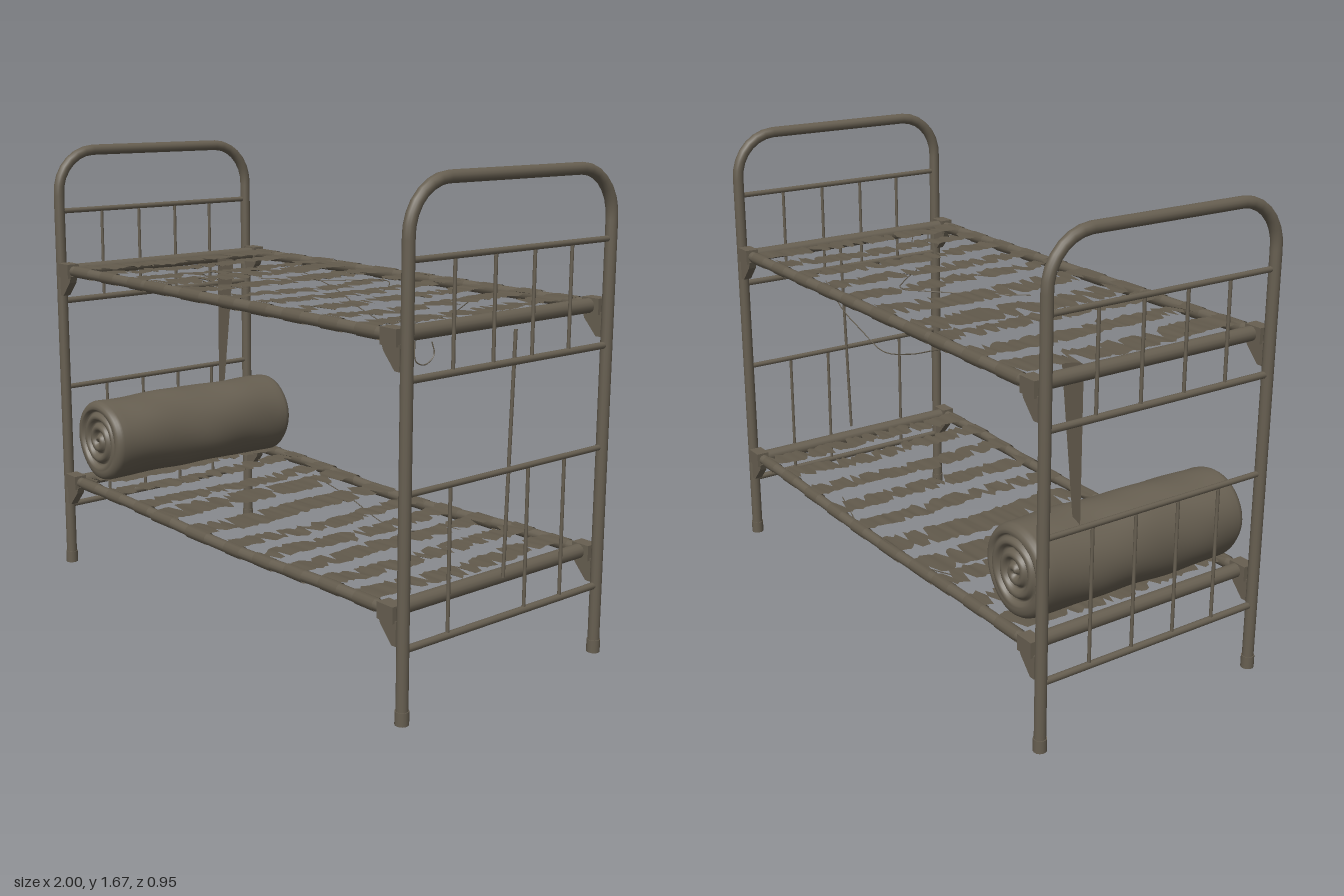
import * as THREE from 'three';
import { mergeVertices } from 'three/addons/utils/BufferGeometryUtils.js';

const V = (x, y, z) => new THREE.Vector3(x, y, z);

export function createModel() {
  const model = new THREE.Group();
  const metal = new THREE.MeshStandardMaterial({ color: 0x675f51 });
  metal.name = 'weatheredBrown';
  const cloth = new THREE.MeshStandardMaterial({ color: 0x625a4c, side: THREE.DoubleSide });
  cloth.name = 'tatteredCloth';

  let seed = 7;
  const rand = () => (seed = (seed * 16807) % 2147483647) / 2147483647;

  const add = (parent, name, geometry, material = metal) => {
    const mesh = new THREE.Mesh(geometry, material);
    mesh.name = name;
    parent.add(mesh);
    return mesh;
  };
  // Straight round bar between two points
  const bar = (parent, name, a, b, r, sides = 10) => {
    const mesh = add(parent, name, new THREE.CylinderGeometry(r, r, a.distanceTo(b), sides));
    mesh.position.copy(a).lerp(b, 0.5);
    mesh.quaternion.setFromUnitVectors(V(0, 1, 0), b.clone().sub(a).normalize());
    return mesh;
  };
  const wire = (parent, name, points, r = 0.002) =>
    add(parent, name, new THREE.TubeGeometry(new THREE.CatmullRomCurve3(points), 40, r, 5));

  // Bent-tube bed ends with rails and spindles
  const bedEnd = (x, name) => {
    const group = new THREE.Group();
    group.name = name;
    model.add(group);
    const w = 0.449, top = 1.65, r = 0.16, k = r * 0.448;
    const path = new THREE.CurvePath();
    path.add(new THREE.LineCurve3(V(x, 0.01, w), V(x, top - r, w)));
    path.add(new THREE.CubicBezierCurve3(V(x, top - r, w), V(x, top - k, w), V(x, top, w - k), V(x, top, w - r)));
    path.add(new THREE.LineCurve3(V(x, top, w - r), V(x, top, r - w)));
    path.add(new THREE.CubicBezierCurve3(V(x, top, r - w), V(x, top, k - w), V(x, top - k, -w), V(x, top - r, -w)));
    path.add(new THREE.LineCurve3(V(x, top - r, -w), V(x, 0.01, -w)));
    add(group, 'hoop', new THREE.TubeGeometry(path, 110, 0.02, 14));
    for (const s of [-1, 1]) bar(group, 'foot', V(x, 0, s * w), V(x, 0.045, s * w), 0.023, 14);
    for (const [low, high] of [[1.07, 1.42], [0.24, 0.725]]) {
      bar(group, 'lowerRail', V(x, low, -w), V(x, low, w), 0.012);
      bar(group, 'upperRail', V(x, high, -w), V(x, high, w), 0.01);
      for (const z of [-0.26, -0.087, 0.087, 0.26]) {
        if (x > 0 && low < 1 && z === 0.087) continue; // this spindle has come loose
        bar(group, 'spindle', V(x, low, z), V(x, high, z), 0.006, 8);
      }
    }
  };
  bedEnd(-0.98, 'headEnd');
  bedEnd(0.98, 'footEnd');
  bar(model, 'looseSpindle', V(0.975, 1.17, -0.015), V(0.975, 0.37, 0.01), 0.006, 8);

  // Ragged cloth strap running across the bed
  const strap = (parent, cx, width, height) => {
    const rows = 56, half = 0.445, pos = [], index = [];
    for (let i = 0; i <= rows; i++) {
      const t = (i / rows) * 2 - 1;
      const edge = [-1, 1].map((s) => {
        const notch = rand() < 0.2 ? rand() * width * 0.62 : 0;
        return cx + s * (width / 2 + (rand() - 0.5) * 0.018 - notch) + 0.008 * Math.sin(t * 4 + cx * 9);
      });
      const y = height(cx) - 0.008 * (1 - t * t) + (rand() - 0.5) * 0.004;
      pos.push(edge[0], y, t * half, edge[1], y + (rand() - 0.5) * 0.006, t * half);
      if (i < rows) {
        const a = i * 2;
        index.push(a, a + 2, a + 1, a + 1, a + 2, a + 3);
      }
    }
    const geometry = new THREE.BufferGeometry();
    geometry.setAttribute('position', new THREE.Float32BufferAttribute(pos, 3));
    geometry.setIndex(index);
    geometry.computeVertexNormals();
    add(parent, 'strap', geometry, cloth);
  };

  // Triangular corner gusset, drawn for the +x end
  const gussetShape = new THREE.Shape();
  gussetShape.moveTo(0.885, -0.02);
  gussetShape.lineTo(0.895, -0.045);
  gussetShape.lineTo(0.945, -0.1);
  gussetShape.lineTo(0.965, -0.1);
  gussetShape.lineTo(0.965, -0.02);
  const gussetGeometry = new THREE.ExtrudeGeometry(gussetShape, { depth: 0.03, bevelEnabled: false });
  gussetGeometry.translate(0, 0, -0.015);

  // One bed deck: side rails, cross rails, corner joints and straps
  const deck = (name, y, sag) => {
    const group = new THREE.Group();
    group.name = name;
    model.add(group);
    const height = (x) => y - sag * Math.max(0, 1 - ((x - 0.05) / 0.6) ** 2) ** 1.5;
    for (const s of [-1, 1]) {
      const points = [];
      for (let i = 0; i <= 16; i++) {
        const x = -0.94 + (1.88 * i) / 16;
        points.push(V(x, height(x), s * 0.447 - s * 0.4 * (y - height(x))));
      }
      add(group, 'sideRail', new THREE.TubeGeometry(new THREE.CatmullRomCurve3(points), 48, 0.02, 12));
      bar(group, 'crossRail', V(s * 0.918, y, -0.46), V(s * 0.918, y, 0.46), 0.025, 14);
      for (const e of [-1, 1]) {
        add(group, 'cornerJoint', new THREE.BoxGeometry(0.07, 0.054, 0.05)).position.set(e * 0.925, y, s * 0.45);
        const gusset = add(group, 'gusset', gussetGeometry);
        gusset.position.set(0, y, s * 0.45);
        if (e < 0) gusset.rotation.y = Math.PI, gusset.position.z = s * 0.45;
      }
    }
    const straps = [[-0.81, 0.12], [-0.625, 0.1], [-0.435, 0.1], [-0.305, 0.14], [-0.09, 0.13],
      [0.125, 0.095], [0.295, 0.1], [0.467, 0.1], [0.647, 0.098], [0.815, 0.1]];
    for (const [x, width] of straps) {
      strap(group, x, width, (v) => height(v) + 0.022);
      // cloth wrapped over each side rail
      for (const s of [-1, 1]) {
        const wrap = add(group, 'strapWrap', new THREE.CylinderGeometry(0.0225, 0.0225, width * 0.9, 12, 1, true), cloth);
        wrap.rotation.z = Math.PI / 2;
        wrap.position.set(x, height(x), s * (0.447 - 0.4 * (y - height(x))));
      }
    }
  };
  deck('upperDeck', 1.195, 0);
  deck('lowerDeck', 0.35, 0.02);

  // Rolled mattress: a lathe with creases on the side and a spiral on each end
  const R = 0.157, L = 0.425, rim = 0.03, profile = [];
  for (let i = 0; i <= 24; i++) profile.push(new THREE.Vector2(((R - rim) * i) / 24, -L));
  for (let i = 1; i <= 4; i++) {
    const a = (i / 4) * Math.PI / 2;
    profile.push(new THREE.Vector2(R - rim + rim * Math.sin(a), -L + rim - rim * Math.cos(a)));
  }
  for (let i = 1; i <= 14; i++) profile.push(new THREE.Vector2(R, -L + rim + ((L - rim) * i) / 14));
  const half = profile.slice(0, -1).reverse().map((p) => new THREE.Vector2(p.x, -p.y));
  let roll = new THREE.LatheGeometry([...profile, ...half], 64);
  const p = roll.attributes.position;
  for (let i = 0; i < p.count; i++) {
    const x = p.getX(i), y = p.getY(i), z = p.getZ(i);
    const r = Math.hypot(x, z), a = r < 1e-6 ? 0 : Math.atan2(z, x);
    if (Math.abs(y) > L - 0.001) {
      const phase = r / 0.042 - a / (Math.PI * 2);
      const groove = Math.pow(Math.abs(Math.cos(Math.PI * phase)), 4);
      p.setY(i, y - Math.sign(y) * 0.018 * groove * Math.min(1, (R - rim - r) / 0.01));
    }
    const f = 1 + (r / R) * (0.016 * Math.sin(3 * a + y * 7) + 0.012 * Math.sin(2 * a - y * 15) + 0.008 * Math.sin(5 * a + y * 26));
    p.setX(i, x * f);
    p.setZ(i, z * f);
  }
  roll.deleteAttribute('uv');
  roll.deleteAttribute('normal');
  roll = mergeVertices(roll, 1e-5);
  roll.computeVertexNormals();
  roll.rotateX(Math.PI / 2);
  add(model, 'mattressRoll', roll).position.set(-0.795, 0.535, 0);

  // Torn strip hanging from the upper deck onto the roll
  const strip = new THREE.Shape([[-0.868, 1.2], [-0.87, 0.62], [-0.84, 0.62], [-0.825, 0.72], [-0.758, 1.2]]
    .map(([x, y]) => new THREE.Vector2(x, y)));
  add(model, 'hangingStrip', new THREE.ShapeGeometry(strip), cloth).position.z = -0.22;

  // Loose threads
  const drape = (name, pts) => wire(model, name, pts.map(([x, y, z]) => V(x, y, z)));
  drape('upperThread', [[-0.5, 1.17, -0.36], [-0.3, 1.12, -0.37], [-0.1, 1.05, -0.36], [0.08, 1.015, -0.36],
    [0.2, 1.06, -0.37], [0.35, 1.1, -0.36], [0.47, 1.18, -0.36]]);
  drape('lowerThread', [[-0.42, 0.34, -0.36], [-0.2, 0.29, -0.37], [0, 0.24, -0.36], [0.12, 0.238, -0.36],
    [0.25, 0.27, -0.37], [0.4, 0.34, -0.36]]);
  drape('deckThread', [[-0.2, 1.21, 0.08], [-0.02, 1.205, -0.1], [0.13, 1.21, -0.24], [0.22, 1.205, -0.18], [0.32, 1.21, -0.06]]);
  drape('threadLoop', [[0.96, 1.18, 0.4], [0.965, 1.12, 0.4], [0.965, 1.105, 0.36], [0.965, 1.13, 0.325], [0.96, 1.17, 0.33]]);

  return model;
}
